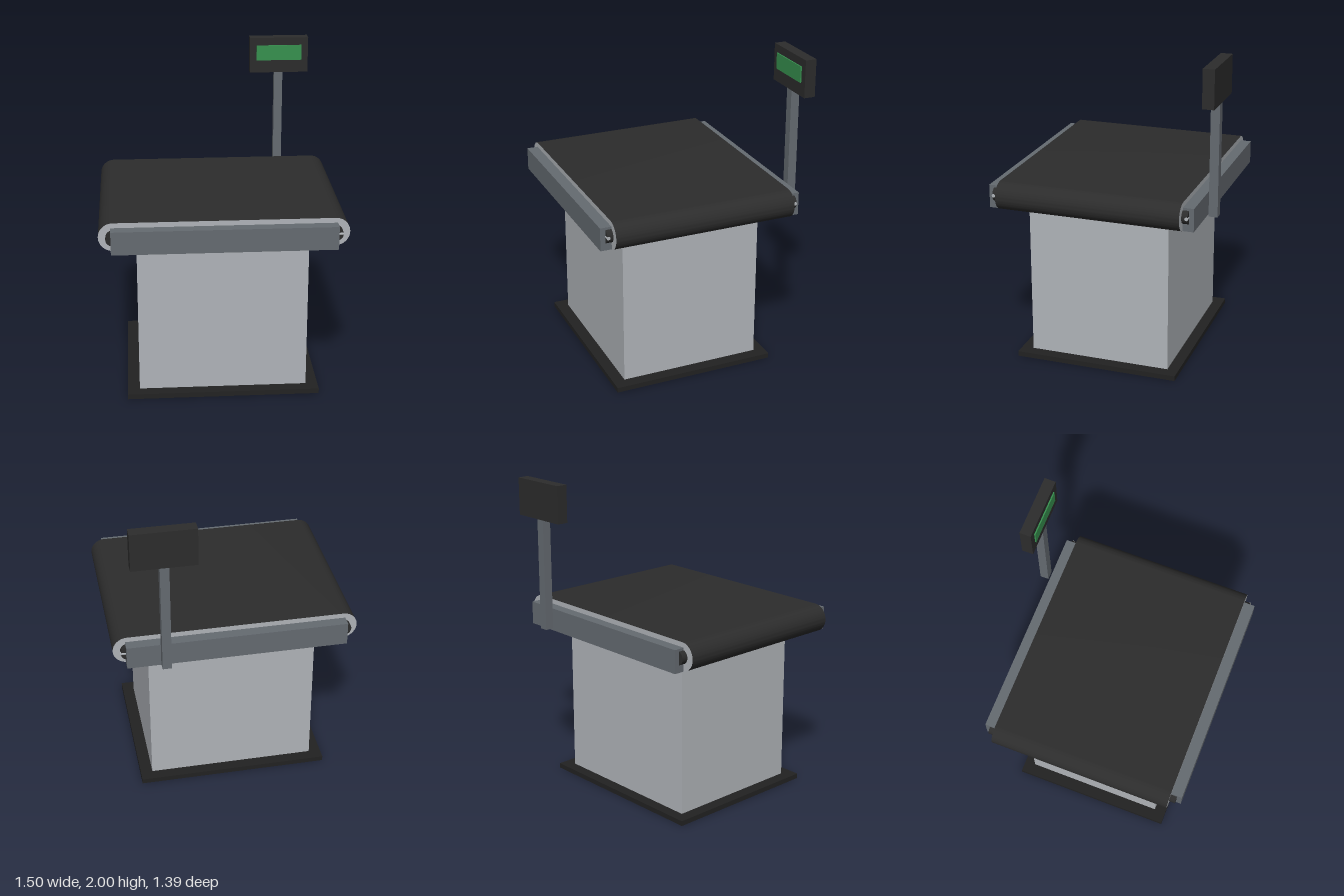
import * as THREE from 'three';
import { toCreasedNormals } from 'three/addons/utils/BufferGeometryUtils.js';

const mat = (name, color) => {
  const m = new THREE.MeshStandardMaterial({ color });
  m.name = name;
  return m;
};

export function createModel() {
  const panel = mat('light grey panel', 0xb0b4b9);
  const steel = mat('slate steel', 0x656b71);
  const rubber = mat('dark rubber', 0x2c2c2c);
  const black = mat('black plinth', 0x222222);
  const green = mat('green screen', 0x37914f);

  const model = new THREE.Group();
  model.name = 'conveyorCheckweigher';

  const add = (name, geometry, material) => {
    const mesh = new THREE.Mesh(geometry, material);
    mesh.name = name;
    model.add(mesh);
    return mesh;
  };
  // Box given by its extents on each axis
  const box = (name, material, [x0, x1], [y0, y1], [z0, z1]) =>
    add(name, new THREE.BoxGeometry(x1 - x0, y1 - y0, z1 - z0), material)
      .position.set((x0 + x1) / 2, (y0 + y1) / 2, (z0 + z1) / 2);

  // Plinth and cabinet
  box('plinth', black, [-0.6, 0.6], [0, 0.032], [-0.47, 0.575]);
  box('cabinet', panel, [-0.525, 0.525], [0.032, 1.03], [-0.4, 0.5]);

  // Belt wrapped round two end rollers, with light roller faces at its sides
  const axisX = 0.662, axisY = 1.118, radius = 0.088;
  const zBack = -0.53, zFront = 0.625;
  const loop = new THREE.Shape();
  loop.absarc(axisX, 0, radius, -Math.PI / 2, Math.PI / 2, false);
  loop.absarc(-axisX, 0, radius, Math.PI / 2, Math.PI * 1.5, false);
  loop.closePath();
  const beltGeometry = new THREE.ExtrudeGeometry(loop, {
    depth: zFront - zBack, bevelEnabled: false, curveSegments: 20,
  });
  add('belt', toCreasedNormals(beltGeometry, 0.6), [panel, rubber])
    .position.set(0, axisY, zBack);

  // Side rails
  box('frontRail', steel, [-0.675, 0.675], [1.03, 1.175], [zFront, 0.695]);
  box('backRail', steel, [-0.675, 0.675], [1.03, 1.175], [-0.598, zBack]);

  // Roller bearings in the rail ends, with small axle pins
  for (const side of [-1, 1]) {
    for (const z of [zFront + 0.019, zBack - 0.019]) {
      const bearing = add('bearing', new THREE.CylinderGeometry(0.044, 0.044, 0.038, 24), rubber);
      bearing.rotation.x = Math.PI / 2;
      bearing.position.set(side * axisX, axisY, z);
    }
  }
  for (const z of [zFront + 0.03, zBack - 0.03]) {
    const pin = add('tensionPin', new THREE.CylinderGeometry(0.011, 0.011, 0.05, 16), panel);
    pin.rotation.z = Math.PI / 2;
    pin.position.set(0.682, axisY, z);
  }

  // Display on its post
  box('post', steel, [0.42, 0.475], [1.06, 1.768], [-0.685, -0.63]);
  box('displayHousing', rubber, [0.256, 0.642], [1.766, 2], [-0.695, -0.624]);
  box('displayScreen', green, [0.3, 0.598], [1.85, 1.95], [-0.624, -0.616]);

  return model;
}
